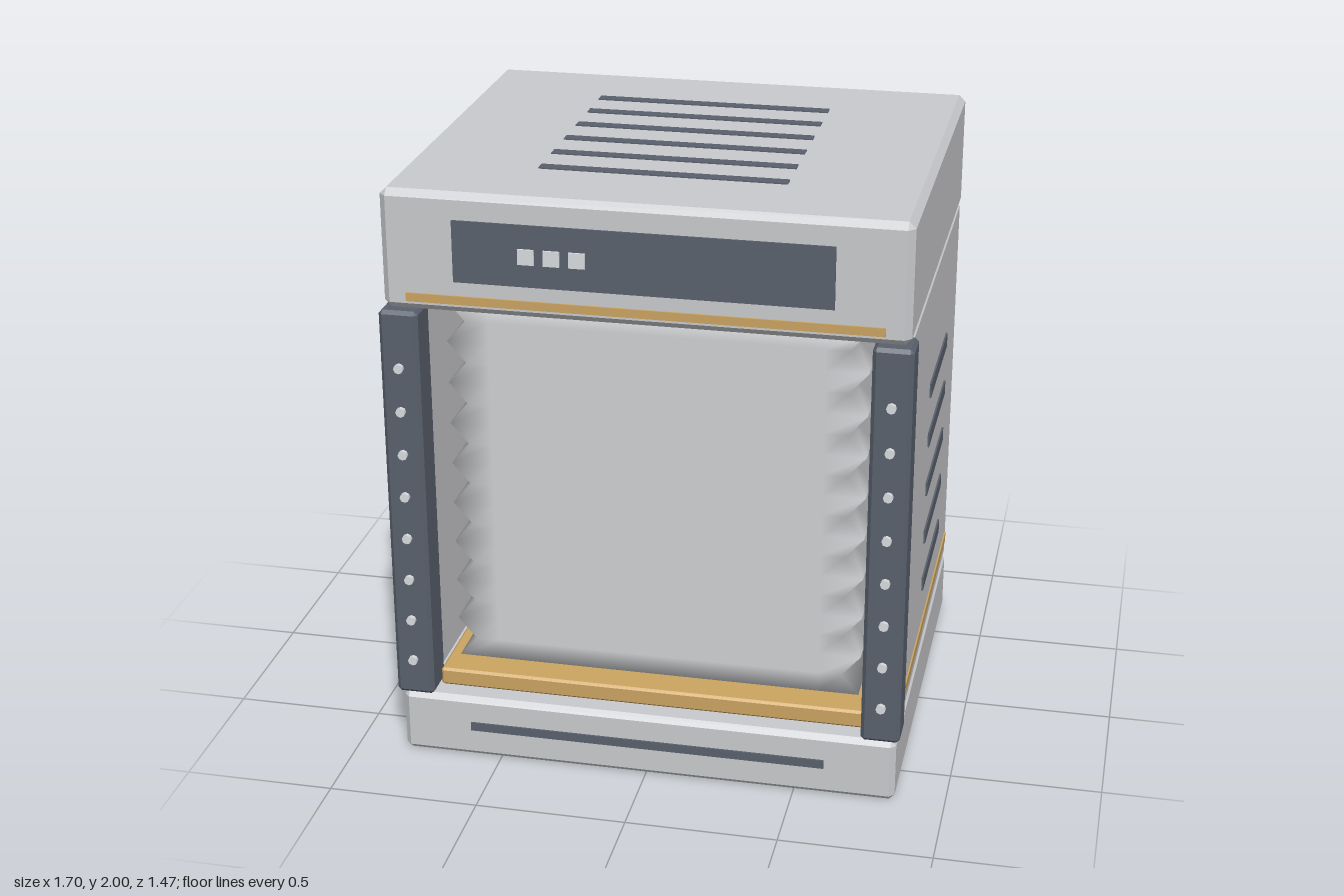
import * as THREE from 'three';
import { mergeVertices } from 'three/addons/utils/BufferGeometryUtils.js';
import { ConvexGeometry } from 'three/addons/geometries/ConvexGeometry.js';

const material = (name, color) => {
  const m = new THREE.MeshStandardMaterial({ color });
  m.name = name;
  return m;
};

// Box between two corners with every edge chamfered by c
function chamferBox(min, max, c) {
  const half = max.map((v, i) => (v - min[i]) / 2);
  const mid = max.map((v, i) => (v + min[i]) / 2);
  const points = [];
  for (const sx of [-1, 1]) for (const sy of [-1, 1]) for (const sz of [-1, 1]) {
    const s = [sx, sy, sz];
    for (let axis = 0; axis < 3; axis++) {
      const p = s.map((sign, i) => mid[i] + sign * (half[i] - (i === axis ? 0 : c)));
      points.push(new THREE.Vector3(...p));
    }
  }
  return new ConvexGeometry(points);
}

// Plain box between two corners
function plainBox(min, max) {
  const g = new THREE.BoxGeometry(...max.map((v, i) => v - min[i]));
  return g.translate(...max.map((v, i) => (v + min[i]) / 2));
}

// Pleated bellows: box whose side walls zigzag with height, smoothly shaded
function bellowsGeometry() {
  const bottom = 0.28, top = 1.576, rows = 18;
  let g = new THREE.BoxGeometry(1.32, top - bottom, 1.1, 12, rows, 8);
  g.translate(0, (top + bottom) / 2, -0.03);
  const p = g.attributes.position;
  for (let i = 0; i < p.count; i++) {
    const row = Math.round((p.getY(i) - bottom) / (top - bottom) * rows);
    const x = p.getX(i);
    if (Math.abs(x) > 0.65) p.setX(i, Math.sign(x) * (row % 2 ? 0.625 : 0.688));
  }
  g.deleteAttribute('uv');
  g.deleteAttribute('normal');
  g = mergeVertices(g);
  g.computeVertexNormals();
  return g;
}

export function createModel() {
  const shell = material('shell grey', 0xc9cacd);
  const slate = material('slate', 0x59616d);
  const amber = material('amber', 0xcba461);
  const fabric = material('bellows grey', 0xcfd0d3);
  const pale = material('pale light', 0xd9dce0);

  const model = new THREE.Group();
  model.name = 'cabinet';
  const add = (name, geometry, mat, parent = model) => {
    const mesh = new THREE.Mesh(geometry, mat);
    mesh.name = name;
    parent.add(mesh);
    return mesh;
  };

  // Base and head
  add('base', chamferBox([-0.835, 0, -0.73], [0.835, 0.22, 0.7], 0.018), shell);
  add('head', chamferBox([-0.835, 1.602, -0.735], [0.835, 1.996, 0.7], 0.022), shell);

  // Back wall between the side walls
  add('backPanel', plainBox([-0.765, 0.215, -0.72], [0.765, 1.61, -0.66]), shell);

  // Side walls, front pillars and their fittings
  for (const [side, s] of [['left', 1], ['right', -1]]) {
    const group = new THREE.Group();
    group.name = side + 'Side';
    model.add(group);
    const span = (a, b) => (s > 0 ? [a, b] : [-b, -a]);
    const part = (name, x, y, z, mat, c = 0) => {
      const [x0, x1] = span(...x);
      const min = [x0, y[0], z[0]], max = [x1, y[1], z[1]];
      add(name, c ? chamferBox(min, max, c) : plainBox(min, max), mat, group);
    };
    part('sideWall', [0.755, 0.832], [0.222, 1.6], [-0.728, 0.62], shell, 0.01);
    part('pillar', [0.72, 0.848], [0.23, 1.6], [0.592, 0.72], slate, 0.012);
    part('sideStripe', [0.83, 0.837], [0.285, 0.32], [-0.69, 0.594], amber);
    for (let i = 0; i < 5; i++) {
      const y = 0.482 + i * 0.18;
      part('sideVent', [0.83, 0.838], [y - 0.025, y + 0.025], [-0.41, 0.065], slate);
    }
    for (let i = 0; i < 8; i++) {
      const stud = add('pillarStud', new THREE.CylinderGeometry(0.016, 0.016, 0.02, 8), pale, group);
      stud.rotation.x = Math.PI / 2;
      stud.position.set(s * 0.785, 0.36 + i * 0.15, 0.725);
    }
  }

  // Bellows with its tray and top rail
  add('bellows', bellowsGeometry(), fabric);
  add('tray', chamferBox([-0.722, 0.222, -0.6], [0.722, 0.284, 0.63], 0.008), amber);
  add('topRail', plainBox([-0.7, 1.585, -0.6], [0.7, 1.61, 0.6]), slate);

  // Control panel, buttons and trim on the front
  add('controlPanel', plainBox([-0.6, 1.708, 0.698], [0.6, 1.91, 0.706]), slate);
  for (const x of [-0.363, -0.282, -0.201]) {
    add('button', plainBox([x - 0.026, 1.783, 0.704], [x + 0.026, 1.833, 0.713]), pale);
  }
  add('headStripe', plainBox([-0.757, 1.633, 0.698], [0.757, 1.661, 0.706]), amber);
  add('baseStripe', plainBox([-0.6, 0.1, 0.698], [0.6, 0.13, 0.706]), slate);

  // Vents on the roof
  for (let i = 0; i < 6; i++) {
    const z = -0.418 + i * 0.16;
    add('roofVent', plainBox([-0.4, 1.992, z - 0.021], [0.4, 2, z + 0.021]), slate);
  }
  return model;
}
